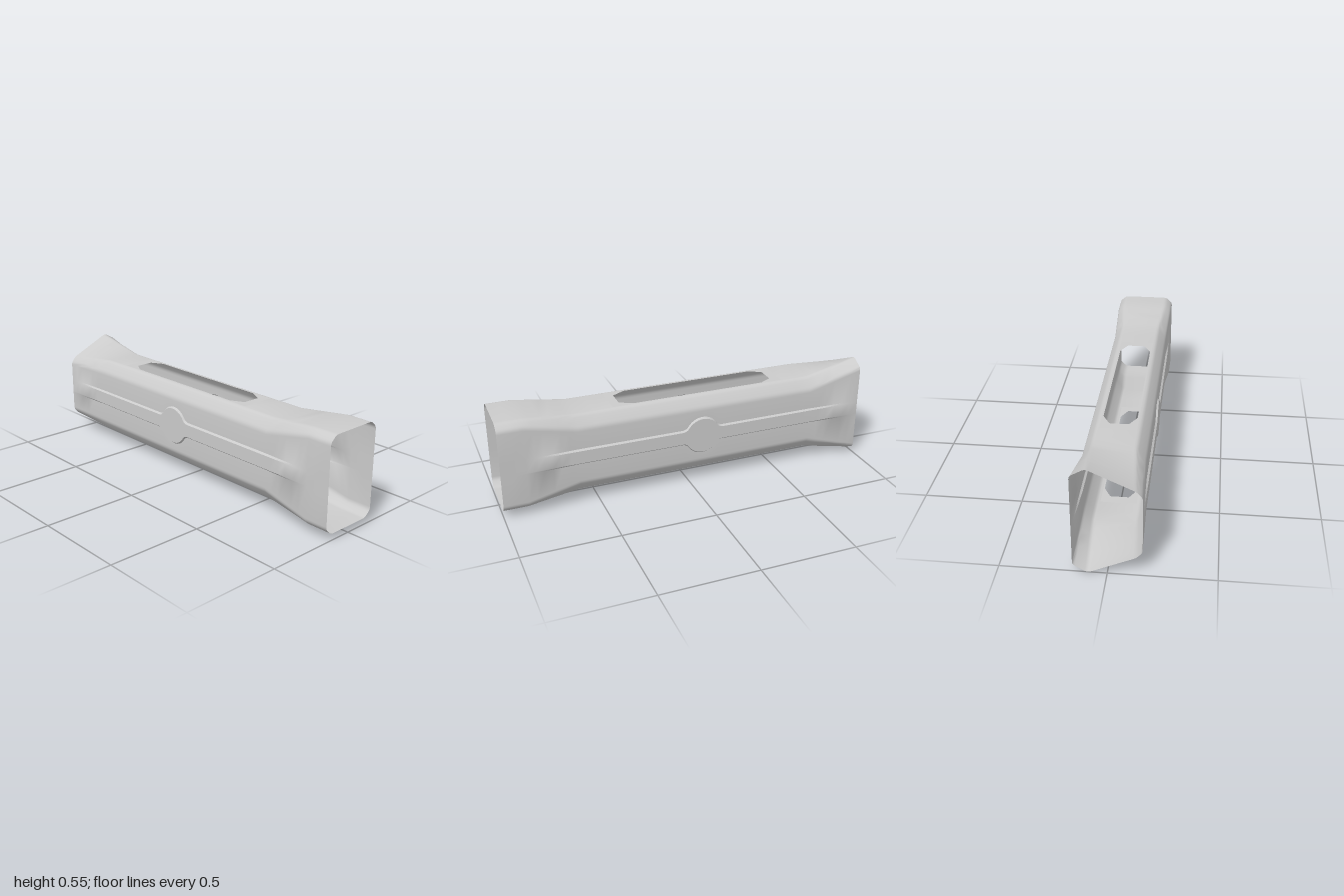
import * as THREE from 'three';
import { toCreasedNormals } from 'three/addons/utils/BufferGeometryUtils.js';

const MID = 0.2775;   // height of the tube axis
const BAND_Z = 0.16;  // outer face of the raised side bands
const FILLET = 0.015;
const SLOT_X = [-0.55, 0.4]; // extent of the slotted panels

// Corner points [z, height above axis] of the upper half, front to back, at each station
const STATIONS = [
  { x: -1, p: [[0.16, 0.147], [0.132, 0.179], [-0.09, 0.2805], [-0.16, 0.24]] },
  { x: -0.7, p: [[0.15, 0.152], [0.105, 0.2125], [-0.105, 0.2125], [-0.15, 0.152]] },
  { x: 0.6, p: [[0.15, 0.152], [0.105, 0.2125], [-0.105, 0.2125], [-0.15, 0.152]] },
  { x: 0.87, p: [[0.16, 0.212], [0.125, 0.2435], [-0.125, 0.2435], [-0.16, 0.212]] },
  { x: 1, p: [[0.16, 0.212], [0.125, 0.2435], [-0.125, 0.2435], [-0.16, 0.212]] },
];

function cornersAt(x) {
  let k = 0;
  while (k < STATIONS.length - 2 && x > STATIONS[k + 1].x) k++;
  const a = STATIONS[k], b = STATIONS[k + 1];
  const t = (x - a.x) / (b.x - a.x);
  return a.p.map((q, i) => new THREE.Vector2(...q).lerp(new THREE.Vector2(...b.p[i]), t));
}

// Half height of the side band: a straight strip with a filleted disc
function bandHalf(x) {
  const R = 0.095, r = 0.04, h = 0.034;
  const d = Math.abs(x + 0.067);
  const far = Math.sqrt((R + r) ** 2 - (h + r) ** 2);
  if (d < far * R / (R + r)) return Math.sqrt(R * R - d * d);
  if (d < far) return h + r - Math.sqrt(r * r - (far - d) ** 2);
  return h;
}

// Upper half outline with rounded corners, front to back (16 points)
function roofAt(x) {
  const c = cornersAt(x);
  const pts = [new THREE.Vector2(c[0].x, 0), ...c, new THREE.Vector2(c[3].x, 0)];
  const out = [];
  for (let i = 1; i <= 4; i++) {
    const p = pts[i];
    const toward = (q) => q.clone().sub(p).setLength(FILLET).add(p);
    const curve = new THREE.QuadraticBezierCurve(toward(pts[i - 1]), p, toward(pts[i + 1]));
    out.push(...curve.getPoints(3));
  }
  return out;
}

// One side wall's band rows, top to bottom, as [z, height]
function bandRows(x, sign) {
  const w = cornersAt(x)[0].x, h = bandHalf(x), m = w + (BAND_Z - w) * 0.6;
  const half = [[w, h + 0.008], [m, h + 0.004], [BAND_Z, h]];
  const lower = half.map(([z, y]) => [z, -y]).reverse();
  return [...half, ...lower].map(([z, y]) => new THREE.Vector2(sign * z, y));
}

function sectionAt(x) {
  const roof = roofAt(x);
  const floor = roof.map((p) => new THREE.Vector2(p.x, -p.y)).reverse();
  return [...roof, ...bandRows(x, -1), ...floor, ...bandRows(x, 1).reverse()];
}

function shellGeometry() {
  // Columns: coarse along the tube, dense around the disc
  const xs = [];
  const span = (a, b, n) => { for (let i = 0; i < n; i++) xs.push(a + (b - a) * i / n); };
  span(-1, -0.7, 6);
  span(-0.7, SLOT_X[0], 2);
  span(SLOT_X[0], -0.18, 4);
  span(-0.18, 0.046, 48);
  span(0.046, SLOT_X[1], 4);
  span(SLOT_X[1], 0.6, 2);
  span(0.6, 0.87, 6);
  span(0.87, 1, 2);
  xs.push(1);

  const pos = [], index = [];
  let n = 0;
  for (const x of xs) {
    const section = sectionAt(x);
    n = section.length;
    for (const p of section) pos.push(x, MID + p.y, p.x);
  }
  for (let i = 0; i < xs.length - 1; i++) {
    const slotted = xs[i] > SLOT_X[0] - 1e-6 && xs[i + 1] < SLOT_X[1] + 1e-6;
    for (let j = 0; j < n; j++) {
      if (slotted && (j === 7 || j === 29)) continue; // left open for the panels
      const k = (j + 1) % n;
      const a = i * n + j, b = a + n, c = (i + 1) * n + k, d = i * n + k;
      index.push(a, b, c, a, c, d);
    }
  }
  const g = new THREE.BufferGeometry();
  g.setAttribute('position', new THREE.Float32BufferAttribute(pos, 3));
  g.setIndex(index);
  return toCreasedNormals(g, 0.5);
}

// Flat panel with a long chamfered slot
function panelGeometry() {
  const z = roofAt(0)[7].x, [x0, x1] = SLOT_X;
  const v = (list) => list.map((p) => new THREE.Vector2(...p));
  const shape = new THREE.Shape(v([[x0, -z], [x1, -z], [x1, z], [x0, z]]));
  shape.holes.push(new THREE.Path(v([
    [-0.5, -0.047], [-0.5, 0.047], [-0.435, 0.083], [0.285, 0.083],
    [0.355, 0.047], [0.355, -0.047], [0.285, -0.083], [-0.435, -0.083],
  ])));
  return new THREE.ShapeGeometry(shape);
}

export function createModel() {
  const group = new THREE.Group();
  group.name = 'flaredTube';
  const material = new THREE.MeshStandardMaterial({ color: 0xcccccc, side: THREE.DoubleSide });

  const shell = new THREE.Mesh(shellGeometry(), material);
  shell.name = 'tubeShell';
  group.add(shell);

  // Slotted panels above and below
  for (const s of [1, -1]) {
    const panel = new THREE.Mesh(panelGeometry(), material);
    panel.name = s > 0 ? 'topSlotPanel' : 'bottomSlotPanel';
    panel.rotation.x = -s * Math.PI / 2;
    panel.position.y = MID + s * 0.2125;
    group.add(panel);
  }
  return group;
}
